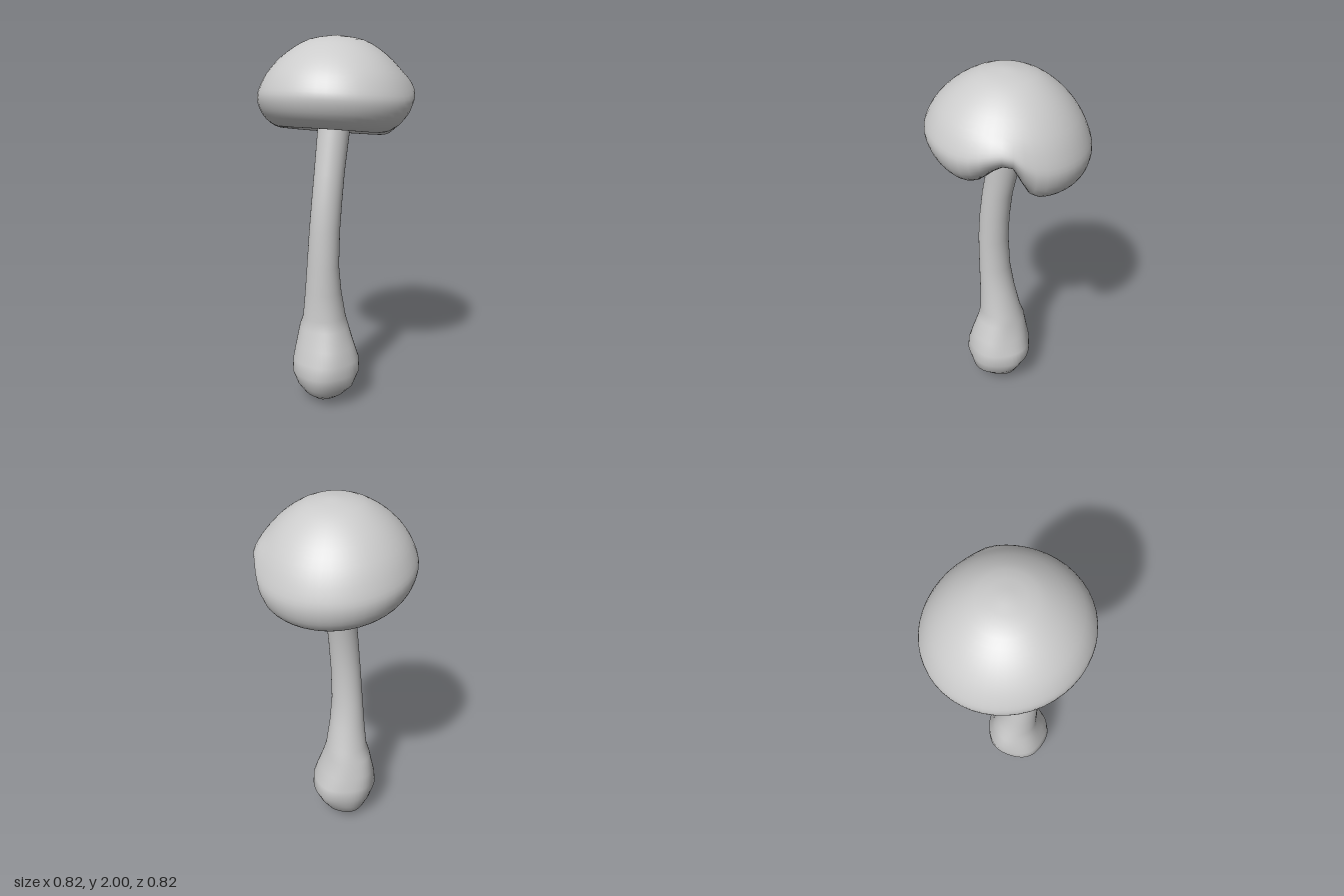
import * as THREE from 'three';
import { mergeVertices } from 'three/addons/utils/BufferGeometryUtils.js';

const SIDES = 48;

// Closed skin over rings running from top to bottom; point(i, angle) gives [x, y, z]
function skin(name, rings, point) {
  const positions = [], index = [];
  for (let i = 0; i < rings; i++) {
    for (let j = 0; j < SIDES; j++) {
      positions.push(...point(i, (j / SIDES) * Math.PI * 2));
      if (i === rings - 1) continue;
      const k = (j + 1) % SIDES;
      const a = i * SIDES + j, b = a + SIDES, c = i * SIDES + k, d = c + SIDES;
      index.push(a, c, b, c, d, b);
    }
  }
  let geometry = new THREE.BufferGeometry();
  geometry.setAttribute('position', new THREE.Float32BufferAttribute(positions, 3));
  geometry.setIndex(index);
  geometry = mergeVertices(geometry, 1e-5);
  geometry.computeVertexNormals();
  const material = new THREE.MeshStandardMaterial({ color: 0xcccccc, side: THREE.DoubleSide });
  const mesh = new THREE.Mesh(geometry, material);
  mesh.name = name;
  return mesh;
}

// Domed cap with a rolled rim and a hollow underside
function createCap() {
  const profile = new THREE.SplineCurve([
    [0, 2], [0.14, 1.977], [0.26, 1.905], [0.35, 1.81], [0.4, 1.715], [0.412, 1.65],
    [0.39, 1.58], [0.345, 1.53], [0.29, 1.51], [0.25, 1.535], [0.245, 1.59], [0.24, 1.66],
    [0.18, 1.71], [0, 1.73],
  ].map(([r, y]) => new THREE.Vector2(r, y))).getPoints(40);
  profile[0].x = profile[40].x = 0;

  return skin('cap', profile.length, (i, angle) => {
    let { x: r, y } = profile[i];
    // Whole cap leans to one side, the rim more than the crown
    const lean = 0.05 + 0.28 * (2 - y);
    // Notch in the rim: steep on one side, gradual on the other
    let off = angle - THREE.MathUtils.degToRad(40);
    if (off > Math.PI) off -= Math.PI * 2;
    const notch = Math.exp(-((off / (off < 0 ? 0.22 : 0.42)) ** 2));
    const low = THREE.MathUtils.clamp((1.83 - y) / 0.33, 0, 1) * Math.min(1, r / 0.2);
    y += 0.165 * notch * low - lean * r * Math.cos(angle + 0.4);
    r -= 0.03 * notch * low;
    return [r * Math.cos(angle), y, r * Math.sin(angle)];
  });
}

// Bent stem swelling into a bulb: y, centre x, radius x, centre z, radius z
function createStem() {
  const rows = [
    [1.76, 0.02, 0.1, 0, 0.1], [1.65, 0, 0.09, 0, 0.088], [1.5, -0.03, 0.086, 0.002, 0.083],
    [1.3, -0.073, 0.082, 0.015, 0.079], [1.15, -0.095, 0.082, 0.018, 0.08],
    [1, -0.11, 0.081, 0.016, 0.083], [0.8, -0.114, 0.083, 0.006, 0.09],
    [0.65, -0.104, 0.097, -0.003, 0.1], [0.5, -0.088, 0.117, -0.012, 0.117],
    [0.44, -0.088, 0.13, -0.017, 0.14], [0.34, -0.09, 0.153, -0.008, 0.168],
    [0.26, -0.087, 0.18, -0.001, 0.182], [0.19, -0.088, 0.19, 0.003, 0.182],
    [0.11, -0.095, 0.155, 0.006, 0.157], [0.05, -0.09, 0.112, -0.01, 0.113],
    [0.015, -0.086, 0.068, 0, 0.055], [0, -0.085, 0, 0, 0],
  ];
  return skin('stem', rows.length, (i, angle) => {
    const [y, cx, rx, cz, rz] = rows[i];
    // Slight lumps on the bulb
    const lump = y < 0.45 ? 1 + 0.02 * Math.sin(angle * 5 + y * 9) : 1;
    return [cx + rx * lump * Math.cos(angle), y, cz + rz * lump * Math.sin(angle)];
  });
}

export function createModel() {
  const mushroom = new THREE.Group();
  mushroom.name = 'mushroom';
  mushroom.add(createCap(), createStem());
  return mushroom;
}
